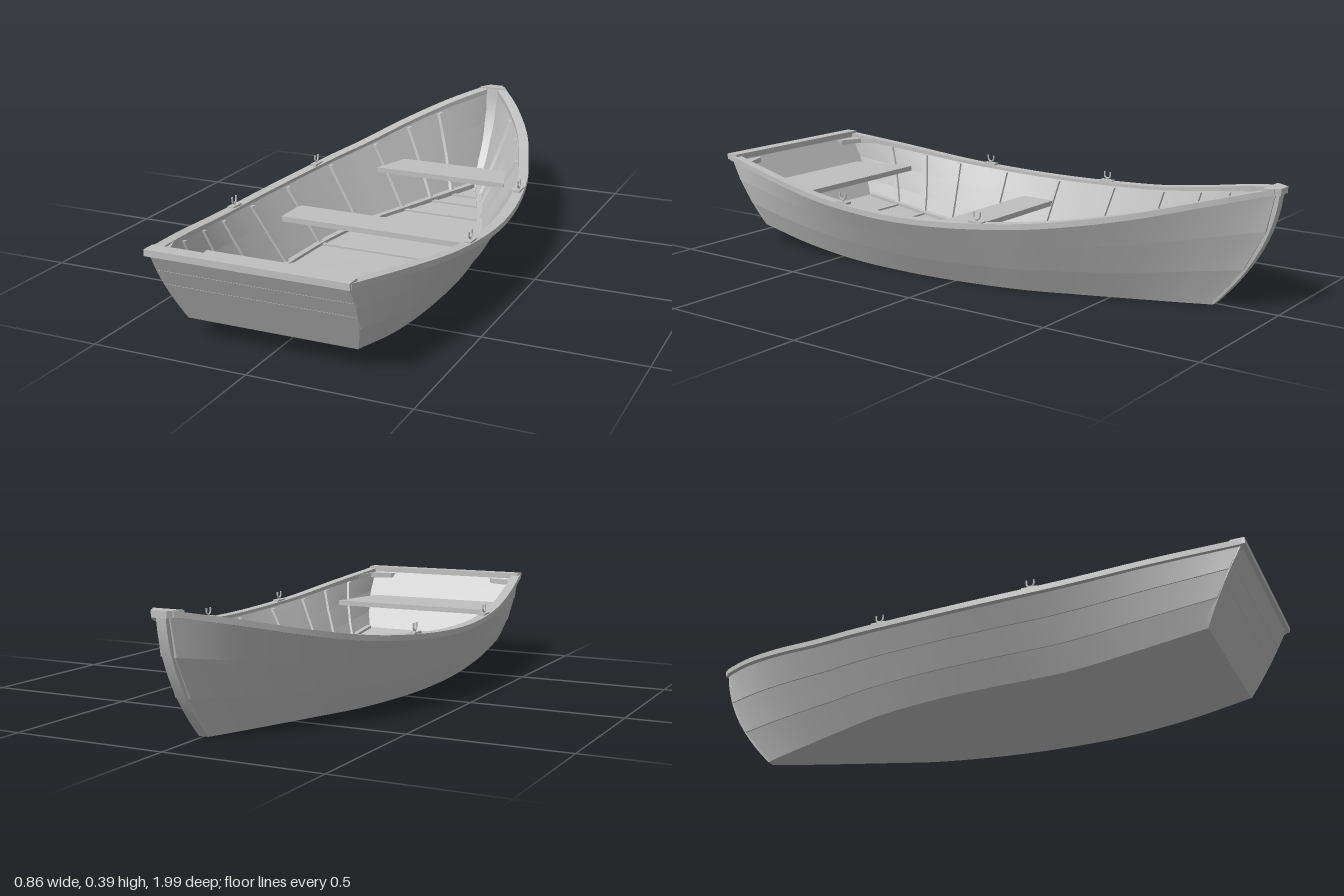
import * as THREE from 'three';
import { toCreasedNormals } from 'three/addons/utils/BufferGeometryUtils.js';

const wood = new THREE.MeshStandardMaterial({ color: 0xbfbfbf });
wood.name = 'grey wood';

const curve = (pts) => new THREE.CatmullRomCurve3(pts.map((p) => new THREE.Vector3(...p)), false, 'catmullrom', 0.5);
// top edge and bottom edge of one side, stern to bow, with matching stations
const sheer = curve([[0.305, 0.305, 0.98], [0.36, 0.27, 0.72], [0.4, 0.237, 0.46], [0.418, 0.222, 0.2], [0.405, 0.224, -0.03],
  [0.365, 0.24, -0.26], [0.31, 0.262, -0.44], [0.235, 0.3, -0.64], [0.13, 0.345, -0.83], [0.022, 0.38, -0.985]]);
const chine = curve([[0.272, 0.065, 0.85], [0.282, 0.03, 0.64], [0.28, 0.005, 0.42], [0.28, 0, 0.18], [0.265, 0, -0.03],
  [0.225, 0, -0.24], [0.165, 0, -0.41], [0.105, 0, -0.57], [0.055, 0, -0.7], [0.02, 0, -0.785]]);

// point on the hull: t stern to bow, v bottom to top, inset = distance inward
function hull(t, v, inset = 0) {
  const p = chine.getPoint(t).lerp(sheer.getPoint(t), v);
  const bulge = 4 * v * (1 - v);
  p.x += 0.015 * bulge * Math.max(0, 1 - t * 4);
  p.z -= 0.045 * bulge * t ** 6;
  p.x = Math.max(0.002, p.x - inset * (1 + 0.25 * t * t));
  return p;
}

const steps = (n, f) => Array.from({ length: n + 1 }, (_, i) => f(i / n));
const V = (x, y, z) => new THREE.Vector3(x, y, z);

// closed solid through a series of rings, with outward faces
function loft(rings) {
  const n = rings[0].length, tris = [];
  for (let i = 0; i + 1 < rings.length; i++) {
    for (let j = 0; j < n; j++) {
      const a = rings[i][j], b = rings[i][(j + 1) % n], c = rings[i + 1][(j + 1) % n], d = rings[i + 1][j];
      tris.push([a, b, c], [a, c, d]);
    }
  }
  const first = rings[0], last = rings[rings.length - 1];
  for (let j = 1; j + 1 < n; j++) tris.push([first[0], first[j + 1], first[j]], [last[0], last[j], last[j + 1]]);
  const volume = tris.reduce((s, [a, b, c]) => s + a.dot(b.clone().cross(c)), 0);
  const pts = tris.flatMap(([a, b, c]) => (volume < 0 ? [a, c, b] : [a, b, c]));
  return toCreasedNormals(new THREE.BufferGeometry().setFromPoints(pts), 0.5);
}

const flip = (rings, s) => rings.map((r) => r.map((p) => V(p.x * s, p.y, p.z)));

export function createModel() {
  const boat = new THREE.Group();
  boat.name = 'rowingBoat';
  const add = (name, geometry, x = 0, y = 0, z = 0, parent = boat) => {
    const mesh = new THREE.Mesh(geometry, wood);
    mesh.name = name;
    mesh.position.set(x, y, z);
    parent.add(mesh);
    return mesh;
  };
  const addBoth = (name, rings) => {
    add(name + 'Left', loft(rings));
    add(name + 'Right', loft(flip(rings, -1)));
  };

  // three overlapping planks on each side
  for (let k = 0; k < 3; k++) {
    const v0 = k / 3, v1 = (k + 1) / 3, lap = k ? -0.004 : 0;
    addBoth('sidePlank' + (k + 1), steps(54, (t) => [hull(t, v0, lap), hull(t, v1), hull(t, v1, 0.018), hull(t, v0, 0.018)]));
  }

  // flat bottom
  add('bottom', loft(steps(54, (t) => {
    const p = hull(t, 0), x = p.x - 0.001;
    return [V(-x, p.y, p.z), V(x, p.y, p.z), V(x, p.y + 0.02, p.z), V(-x, p.y + 0.02, p.z)];
  })));

  // rail along the top edge
  addBoth('rail', steps(54, (t) => {
    const o = hull(t, 1, -0.012), i = hull(t, 1, 0.021), y = sheer.getPoint(t).y;
    return [V(o.x, y - 0.012, o.z), V(o.x, y + 0.006, o.z), V(i.x, y + 0.006, i.z), V(i.x, y - 0.012, i.z)];
  }));

  // transom, built up from three planks
  for (let k = 0; k < 3; k++) {
    const cuts = [0, 0.52, 0.735, 1];
    const edge = steps(4, (u) => hull(0, cuts[k] + (cuts[k + 1] - cuts[k]) * u - (k < 2 && u === 1 ? 0.004 : 0)));
    const outline = [...edge, ...edge.slice().reverse().map((p) => V(-p.x, p.y, p.z))];
    add('transomPlank' + (k + 1), loft([0.003, -0.02].map((dz) => outline.map((p) => V(p.x, p.y, p.z + dz)))));
  }
  const core = steps(6, (v) => hull(0, v, 0.004));
  const coreOutline = [...core, ...core.slice().reverse().map((p) => V(-p.x, p.y, p.z))];
  add('transomBacking', loft([-0.001, -0.026].map((dz) => coreOutline.map((p) => V(p.x, p.y, p.z + dz)))));
  add('transomRail', new THREE.BoxGeometry(0.632, 0.02, 0.045), 0, 0.305, 0.969);

  // stem post at the bow
  add('stem', loft(steps(14, (v) => {
    const p = hull(1, v);
    return [V(-0.016, p.y, p.z - 0.008), V(0.016, p.y, p.z - 0.008), V(0.026, p.y, p.z + 0.035), V(-0.026, p.y, p.z + 0.035)];
  })));
  add('bowCap', loft([0.366, 0.386].map((y) => [V(-0.024, y, -1), V(0.024, y, -1), V(0.052, y, -0.955), V(-0.052, y, -0.955)])));

  // ribs up the sides and cross battens on the floor
  for (const station of [0.77, 1.35, 1.92, 2.7, 3.7, 4.8, 6.05, 6.9, 7.6]) {
    const t = station / 9, d = 0.004;
    addBoth('rib', steps(6, (u) => {
      const v = 0.06 + 0.9 * u;
      return [hull(t - d, v, 0.015), hull(t + d, v, 0.015), hull(t + d, v, 0.028), hull(t - d, v, 0.028)];
    }));
    const p = hull(t, 0.08, 0.02);
    add('floorBatten', new THREE.BoxGeometry(p.x * 2, 0.008, 0.016), 0, chine.getPoint(t).y + 0.022, p.z);
  }
  // strip along the edge of the floor
  addBoth('floorEdge', steps(40, (u) => {
    const t = 0.02 + 0.93 * u, o = hull(t, 0.08, 0.012), i = hull(t, 0.08, 0.03);
    return [V(o.x, o.y - 0.005, o.z), V(o.x, o.y + 0.014, o.z), V(i.x, i.y + 0.012, i.z), V(i.x, i.y - 0.005, i.z)];
  }));

  // seats: height, then z and half width of both ends
  const seat = (name, y, z0, w0, z1, w1) => add(name, loft([[z0, w0], [z1, w1]].map(([z, w]) =>
    [V(-w, y - 0.018, z), V(w, y - 0.018, z), V(w, y, z), V(-w, y, z)])));
  seat('sternSeat', 0.205, 0.915, 0.262, 0.67, 0.318);
  seat('middleSeat', 0.15, 0.16, 0.342, 0.03, 0.342);
  seat('bowSeat', 0.18, -0.4, 0.247, -0.545, 0.2);

  // corner knees between transom and rails
  addBoth('sternKnee', [0.275, 0.292].map((y) => [V(0.3, y, 0.95), V(0.2, y, 0.95), V(0.215, y, 0.93), V(0.29, y, 0.9), V(0.315, y, 0.84), V(0.33, y, 0.84)]));

  // oarlocks
  for (const station of [2.4, 4.6]) {
    for (const side of [1, -1]) {
      const p = hull(station / 9, 1, 0.004);
      const lock = new THREE.Group();
      lock.name = 'oarlock';
      lock.position.set(p.x * side, p.y + 0.006, p.z);
      boat.add(lock);
      add('oarlockPad', new THREE.BoxGeometry(0.022, 0.008, 0.05), 0, 0.002, 0, lock);
      add('oarlockPin', new THREE.CylinderGeometry(0.004, 0.004, 0.012, 8), 0, 0.007, 0, lock);
      const fork = add('oarlockFork', new THREE.TorusGeometry(0.012, 0.003, 6, 12, Math.PI), 0, 0.023, 0, lock);
      fork.rotation.set(Math.PI, Math.PI / 2, 0);
      for (const z of [-0.012, 0.012]) add('oarlockProng', new THREE.CylinderGeometry(0.003, 0.003, 0.012, 6), 0, 0.028, z, lock);
    }
  }
  return boat;
}
